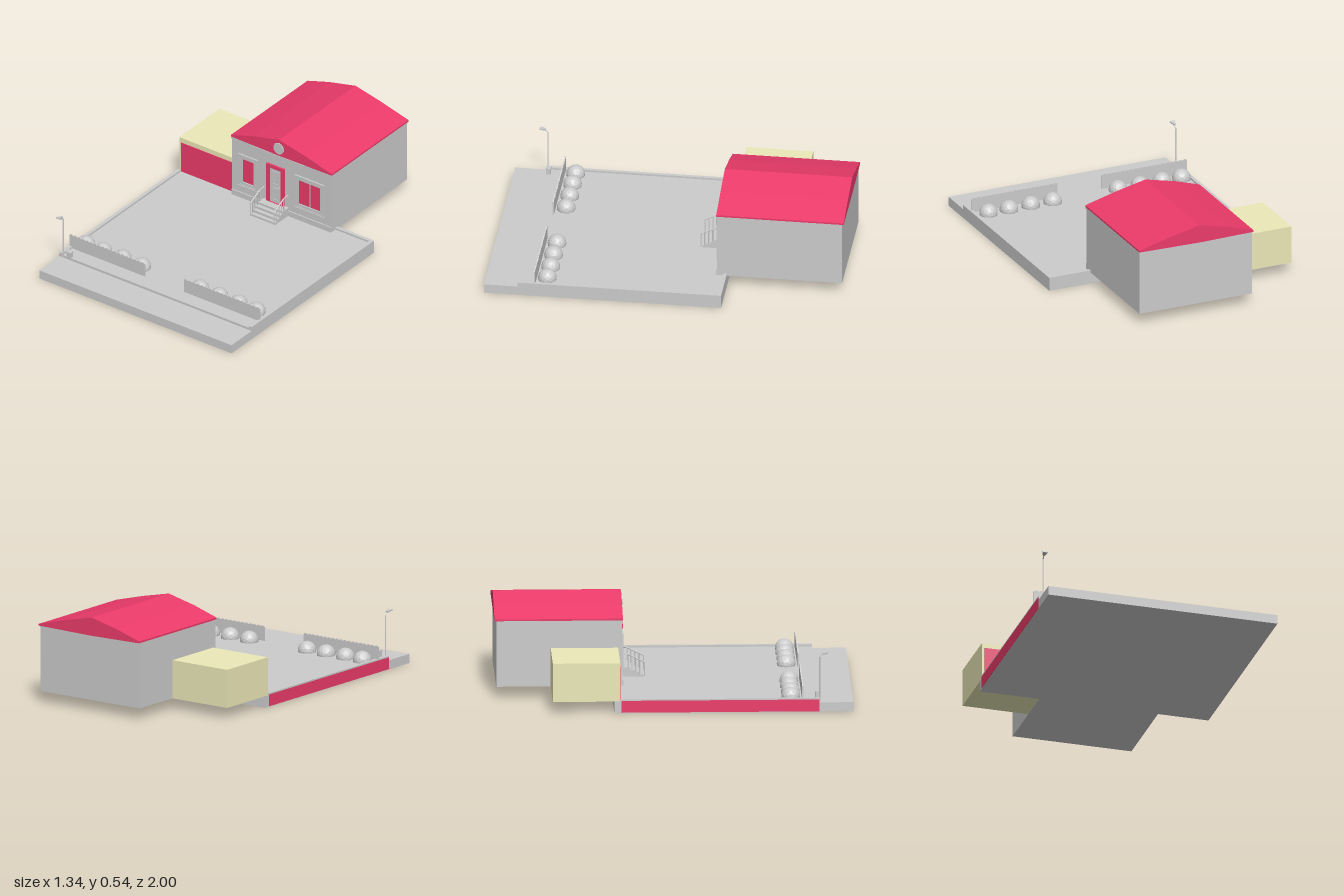
import * as THREE from 'three';

const mat = (color) => new THREE.MeshStandardMaterial({ color, flatShading: true });

export function createModel() {
  const model = new THREE.Group();
  const grey = mat(0xcccccc), red = mat(0xec3b6a), cream = mat(0xece9b8);

  const add = (name, geo, m = grey, parent = model) => {
    const mesh = new THREE.Mesh(geo, m);
    mesh.name = name;
    parent.add(mesh);
    return mesh;
  };
  // Box given by its extents on each axis
  const box = (name, x0, x1, y0, y1, z0, z1, m = grey, parent = model) => {
    const mesh = add(name, new THREE.BoxGeometry(x1 - x0, y1 - y0, z1 - z0), m, parent);
    mesh.position.set((x0 + x1) / 2, (y0 + y1) / 2, (z0 + z1) / 2);
    return mesh;
  };
  const extrude = (name, shape, z, depth, m = grey, parent = model) => {
    const mesh = add(name, new THREE.ExtrudeGeometry(shape, { depth, bevelEnabled: false, curveSegments: 4 }), m, parent);
    mesh.position.z = z;
    return mesh;
  };
  const rect = (T, x0, x1, y0, y1) => new T([
    new THREE.Vector2(x0, y0), new THREE.Vector2(x1, y0),
    new THREE.Vector2(x1, y1), new THREE.Vector2(x0, y1)]);
  // Rectangular frame of width w, standing out from plane z
  const frame = (name, x0, x1, y0, y1, w, z, depth, m, parent) => {
    const s = rect(THREE.Shape, x0, x1, y0, y1);
    s.holes.push(rect(THREE.Path, x0 + w, x1 - w, y0 + w, y1 - w));
    return extrude(name, s, z, depth, m, parent);
  };
  // Round bar between two points
  const bar = (name, a, b, r, parent) => {
    const p = new THREE.Vector3(...a), d = new THREE.Vector3(...b).sub(p);
    const mesh = add(name, new THREE.CylinderGeometry(r, r, d.length(), 6), grey, parent);
    mesh.position.copy(p).addScaledVector(d, 0.5);
    mesh.quaternion.setFromUnitVectors(new THREE.Vector3(0, 1, 0), d.normalize());
  };

  // Ground: street strip, yard and raised curbs
  box('street', -0.67, 0.67, 0, 0.053, 0.81, 1);
  box('yard', -0.668, 0.67, 0, 0.067, -0.34, 0.81);
  for (const s of [-1, 1]) {
    box('sideCurb', s < 0 ? -0.67 : 0.65, s < 0 ? -0.65 : 0.67, 0.06, 0.078, s < 0 ? -0.3 : -0.34, 0.81);
  }
  box('backCurb', -0.28, 0.65, 0.06, 0.078, -0.34, -0.32);
  box('yardSidePanel', -0.671, -0.667, 0.002, 0.07, -0.3, 0.81, red);

  // House body
  const house = new THREE.Group();
  house.name = 'house';
  model.add(house);
  box('walls', -0.28, 0.415, 0.065, 0.447, -0.99, -0.285, grey, house);
  box('plinth', -0.28, 0.415, 0.065, 0.1, -0.286, -0.278, grey, house);
  box('frontTrim', -0.13, 0.23, 0.425, 0.437, -0.286, -0.279, grey, house);

  // Gable roof with slightly bowed slopes
  const roof = new THREE.Shape([[-0.285, 0.443], [0.05, 0.438], [0.42, 0.443], [0.42, 0.453],
    [0.235, 0.502], [0.05, 0.543], [-0.13, 0.501], [-0.285, 0.453]].map((p) => new THREE.Vector2(...p)));
  extrude('roof', roof, -1, 0.72, red, house);
  for (const [x0, x1] of [[-0.284, -0.279], [0.414, 0.419]]) {
    box('eaveTrim', x0, x1, 0.432, 0.447, -0.99, -0.28, grey, house);
  }
  const vent = add('gableVent', new THREE.CylinderGeometry(0.036, 0.036, 0.008, 10), grey, house);
  vent.rotation.x = Math.PI / 2;
  vent.position.set(0.05, 0.487, -0.278);

  // Windows: two stepped frames, sill and red panes
  const wall = -0.285;
  const makeWindow = (x0, x1, y1, panes) => {
    const g = new THREE.Group();
    g.name = 'window';
    house.add(g);
    frame('outerFrame', x0, x1, 0.145, y1, 0.013, wall, 0.01, grey, g);
    frame('innerFrame', x0 + 0.011, x1 - 0.011, 0.157, y1 - 0.012, 0.016, wall, 0.006, grey, g);
    box('sill', x0 - 0.003, x1 + 0.003, 0.142, 0.152, wall, wall + 0.014, grey, g);
    for (const [a, b] of panes) box('pane', a, b, 0.177, 0.33, wall, wall + 0.003, red, g);
  };
  makeWindow(-0.232, -0.1, 0.352, [[-0.203, -0.124]]);
  makeWindow(0.163, 0.365, 0.357, [[0.189, 0.26], [0.268, 0.337]]);

  // Front door
  const door = new THREE.Group();
  door.name = 'door';
  house.add(door);
  frame('doorFrame', -0.034, 0.088, 0.1, 0.363, 0.02, wall, 0.012, red, door);
  box('doorLeaf', -0.014, 0.068, 0.118, 0.343, wall, wall + 0.004, grey, door);
  frame('upperPanel', 0.003, 0.053, 0.237, 0.343 - 0.018, 0.006, wall, 0.008, grey, door);
  frame('lowerPanel', 0.003, 0.053, 0.137, 0.218, 0.006, wall, 0.008, grey, door);
  box('handle', 0.047, 0.064, 0.225, 0.23, wall, wall + 0.012, grey, door);

  // Entrance steps, each one longer than the one above
  const steps = new THREE.Group();
  steps.name = 'entrance';
  model.add(steps);
  for (let i = 0; i < 4; i++) {
    box('step', -0.06, 0.115, 0.065 + i * 0.0135, 0.0785 + i * 0.0135, -0.286, -0.158 - i * 0.024, grey, steps);
  }
  // Handrails with posts on both sides
  for (const x of [-0.055, 0.11]) {
    bar('slopedRail', [x, 0.148, -0.15], [x, 0.195, -0.245], 0.004, steps);
    bar('levelRail', [x, 0.195, -0.245], [x, 0.198, -0.285], 0.004, steps);
    for (let i = 0; i < 5; i++) {
      const t = i / 4;
      bar('railPost', [x, 0.068 + t * 0.04, -0.153 - t * 0.092], [x, 0.149 + t * 0.046, -0.153 - t * 0.092], 0.003, steps);
    }
  }

  // Garage
  const garage = new THREE.Group();
  garage.name = 'garage';
  model.add(garage);
  box('garageBody', -0.665, -0.281, 0.065, 0.285, -0.685, -0.307, cream, garage);
  box('garageDoor', -0.65, -0.295, 0.066, 0.255, -0.31, -0.303, red, garage);

  // Scalloped fences
  const fence = (x0, x1) => {
    const s = new THREE.Shape(), n = 19, w = (x1 - x0) / n;
    s.moveTo(x0, 0.065);
    s.lineTo(x1, 0.065);
    s.lineTo(x1, 0.147);
    for (let i = 0; i < n; i++) {
      const x = x1 - i * w;
      s.quadraticCurveTo(x - w / 2, 0.161, x - w, 0.147);
    }
    extrude('fence', s, 0.712, 0.007);
  };
  fence(-0.67, -0.145);
  fence(0.13, 0.66);

  // Round bushes behind the fences
  [-0.605, -0.485, -0.35, -0.215, 0.19, 0.325, 0.46, 0.585].forEach((x, i) => {
    const bush = add('bush', new THREE.IcosahedronGeometry(0.053, 2));
    bush.position.set(x, 0.076, i % 2 ? 0.652 : 0.65);
    bush.rotation.y = i * 0.7;
  });

  // Street lamp with a bent arm and a flared head
  const lamp = new THREE.Group();
  lamp.name = 'streetLamp';
  model.add(lamp);
  bar('pole', [-0.645, 0.06, 0.812], [-0.645, 0.308, 0.812], 0.004, lamp);
  bar('arm', [-0.645, 0.306, 0.812], [-0.645, 0.329, 0.833], 0.003, lamp);
  const head = new THREE.Shape([[-0.006, 0], [0.006, 0], [0.015, 0.035], [-0.015, 0.035]]
    .map((p) => new THREE.Vector2(...p)));
  const lampHead = extrude('lampHead', head, 0.82, 0.009, grey, lamp);
  lampHead.rotation.x = Math.PI / 2 - 0.2;
  lampHead.position.set(-0.645, 0.33, 0.822);

  // Small box on the kerb
  box('utilityBox', -0.618, -0.592, 0.065, 0.1, 0.79, 0.815);
  box('utilityBoxLid', -0.621, -0.589, 0.098, 0.105, 0.787, 0.818);

  return model;
}
